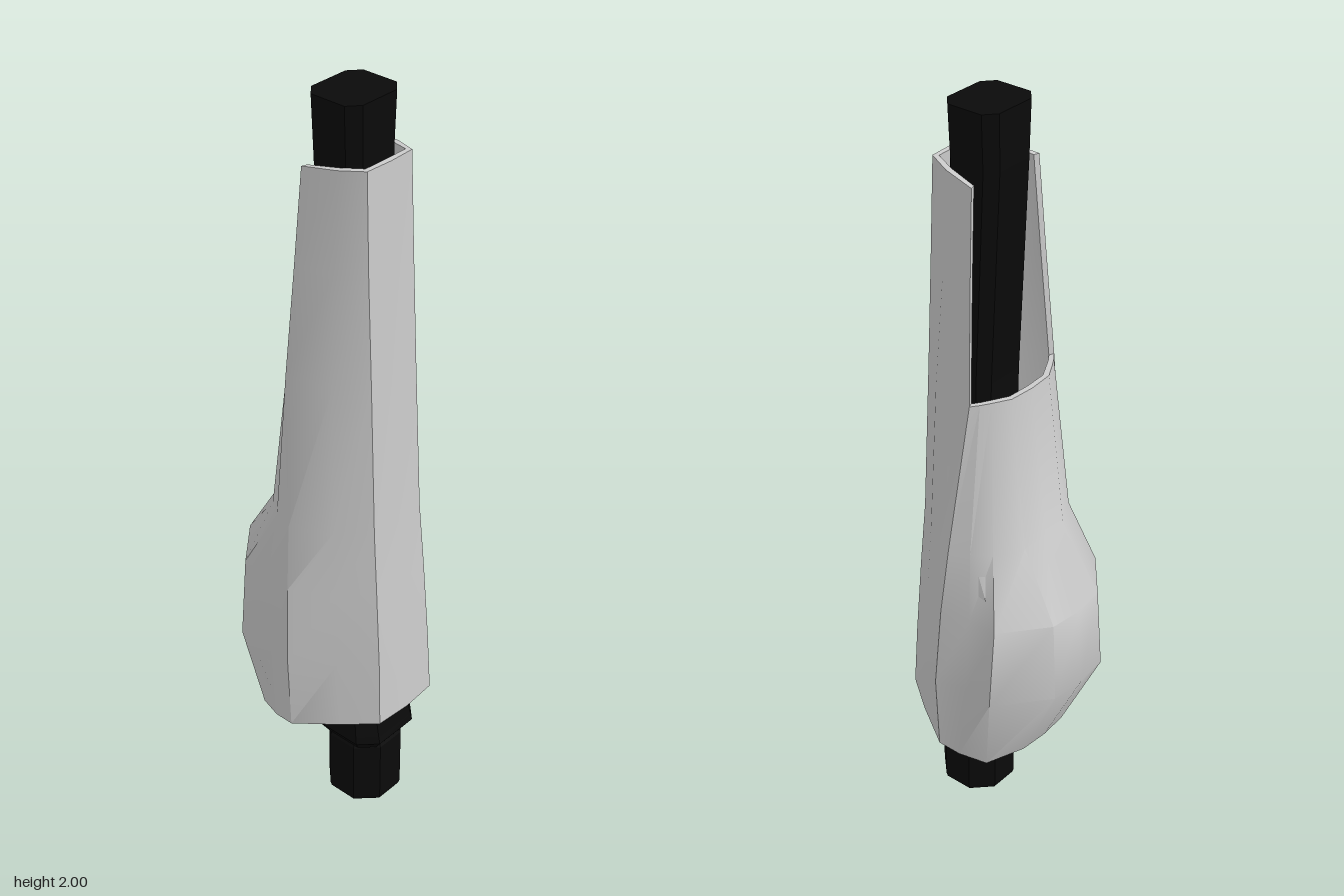
import * as THREE from 'three';
import { toCreasedNormals } from 'three/addons/utils/BufferGeometryUtils.js';

const THICKNESS = 0.015;

// Half cross-sections of the shell, from front centre round the left side to back centre.
// y: height, tilt: rise towards the front, half: [x, z] points
const ROWS = [
  { y: 0.28, tilt: 0.167, half: [[0, 0.243], [0.1, 0.235], [0.16, 0.15], [0.225, 0.04], [0.217, -0.02], [0.19, -0.09], [0.08, -0.125], [0, -0.13]] },
  { y: 0.5, tilt: 0, half: [[0, 0.232], [0.095, 0.226], [0.16, 0.14], [0.235, 0.04], [0.207, -0.04], [0.225, -0.13], [0.095, -0.238], [0, -0.247]] },
  { y: 0.72, tilt: 0, half: [[0, 0.218], [0.09, 0.21], [0.155, 0.13], [0.22, 0.03], [0.205, -0.05], [0.205, -0.13], [0.09, -0.225], [0, -0.235]] },
  { y: 0.9, tilt: 0, half: [[0, 0.205], [0.085, 0.197], [0.15, 0.12], [0.2, 0.02], [0.183, -0.035], [0.15, -0.08], [0.075, -0.12], [0, -0.125]] },
  { y: 1.305, tilt: 0, half: [[0, 0.187], [0.08, 0.182], [0.135, 0.11], [0.16, -0.015], [0.14, -0.03], [0.115, -0.045], [0.07, -0.07], [0, -0.075]] },
  { y: 1.6, tilt: 0, half: [[0, 0.175], [0.078, 0.171], [0.117, 0.1], [0.138, 0]] },
  { y: 1.838, tilt: 0.13, half: [[0, 0.167], [0.075, 0.163], [0.102, 0.1], [0.12, 0.01]] },
];
const COLUMNS = 14;
const BACK_RIM_ROW = 4; // above this row only the front wraps round

// A point of the shell; depth moves it inwards
function shellPoint(col, row, depth) {
  const c = (col + COLUMNS) % COLUMNS;
  const { y, tilt, half } = ROWS[row];
  const mirrored = c > 7;
  const [px, z] = half[mirrored ? COLUMNS - c : c];
  const x = mirrored ? -px : px;
  const shift = -0.012 * THREE.MathUtils.clamp((y - 0.7) / 1.1, 0, 1);
  const k = 1 - depth / Math.hypot(x, z - 0.05);
  return [x * k + shift, y + tilt * z, 0.05 + (z - 0.05) * k];
}

function hasCell(col, row) {
  const c = (col + COLUMNS) % COLUMNS;
  if (row < 0 || row >= ROWS.length - 1) return false;
  return row < BACK_RIM_ROW || c < 3 || c >= COLUMNS - 3;
}

function createShell() {
  const positions = [];
  const quad = (a, b, c, d) => positions.push(...a, ...b, ...c, ...a, ...c, ...d);
  // Closes the gap between the outer and inner walls along one open edge
  const rim = (c0, r0, c1, r1) => quad(
    shellPoint(c1, r1, 0), shellPoint(c0, r0, 0),
    shellPoint(c0, r0, THICKNESS), shellPoint(c1, r1, THICKNESS));

  for (let r = 0; r < ROWS.length - 1; r++) {
    for (let c = 0; c < COLUMNS; c++) {
      if (!hasCell(c, r)) continue;
      const wall = (d) => [[c, r], [c + 1, r], [c + 1, r + 1], [c, r + 1]].map(([i, j]) => shellPoint(i, j, d));
      quad(...wall(0));
      quad(...wall(THICKNESS).reverse());
      if (!hasCell(c, r - 1)) rim(c, r, c + 1, r);
      if (!hasCell(c + 1, r)) rim(c + 1, r, c + 1, r + 1);
      if (!hasCell(c, r + 1)) rim(c + 1, r + 1, c, r + 1);
      if (!hasCell(c - 1, r)) rim(c, r + 1, c, r);
    }
  }
  const geometry = new THREE.BufferGeometry();
  geometry.setAttribute('position', new THREE.Float32BufferAttribute(positions, 3));
  return toCreasedNormals(geometry, THREE.MathUtils.degToRad(38));
}

// Eight-sided post through sections [y, centre z, half width, half depth];
// flat is the share of each side left between the chamfers
function createPost(sections, flat) {
  const n = sections.length - 1;
  const geometry = new THREE.CylinderGeometry(1, 1, 1, 8, n, false, Math.PI / 8);
  const p = geometry.attributes.position;
  const square = (v) => (Math.abs(v) < 0.01 ? 0 : Math.sign(v) * (Math.abs(v) > 0.5 ? 1 : flat));
  for (let i = 0; i < p.count; i++) {
    const [y, cz, hw, hd] = sections[Math.round((p.getY(i) + 0.5) * n)];
    p.setXYZ(i, -0.015 + square(p.getX(i)) * hw, y, cz + square(p.getZ(i)) * hd);
  }
  geometry.computeVertexNormals();
  return geometry;
}

export function createModel() {
  const group = new THREE.Group();
  const grey = new THREE.MeshStandardMaterial({ color: 0xcccccc, side: THREE.DoubleSide });
  const black = new THREE.MeshStandardMaterial({ color: 0x0a0a0a, flatShading: true });
  const add = (name, geometry, material) => {
    const mesh = new THREE.Mesh(geometry, material);
    mesh.name = name;
    group.add(mesh);
  };

  add('shinShell', createShell(), grey);

  // Inner strut, leaning slightly back towards the top
  add('strut', createPost([
    [0.3, 0.1, 0.085, 0.08],
    [0.6, 0.1, 0.08, 0.07],
    [1.3, 0.085, 0.08, 0.07],
    [1.6, 0.07, 0.08, 0.07],
    [1.86, 0.06, 0.08, 0.073],
    [2, 0.06, 0.086, 0.075],
  ], 0.65), black);

  // Flared collar above the ankle
  add('ankleCollar', createPost([
    [0.19, 0.11, 0.085, 0.085],
    [0.225, 0.11, 0.108, 0.109],
    [0.245, 0.108, 0.106, 0.106],
    [0.325, 0.1, 0.096, 0.095],
  ], 0.6), black);

  // Ankle joint
  add('ankleJoint', createPost([
    [0, 0.11, 0.088, 0.088],
    [0.012, 0.11, 0.091, 0.091],
    [0.185, 0.11, 0.091, 0.091],
    [0.2, 0.11, 0.085, 0.085],
  ], 0.45), black);

  return group;
}
